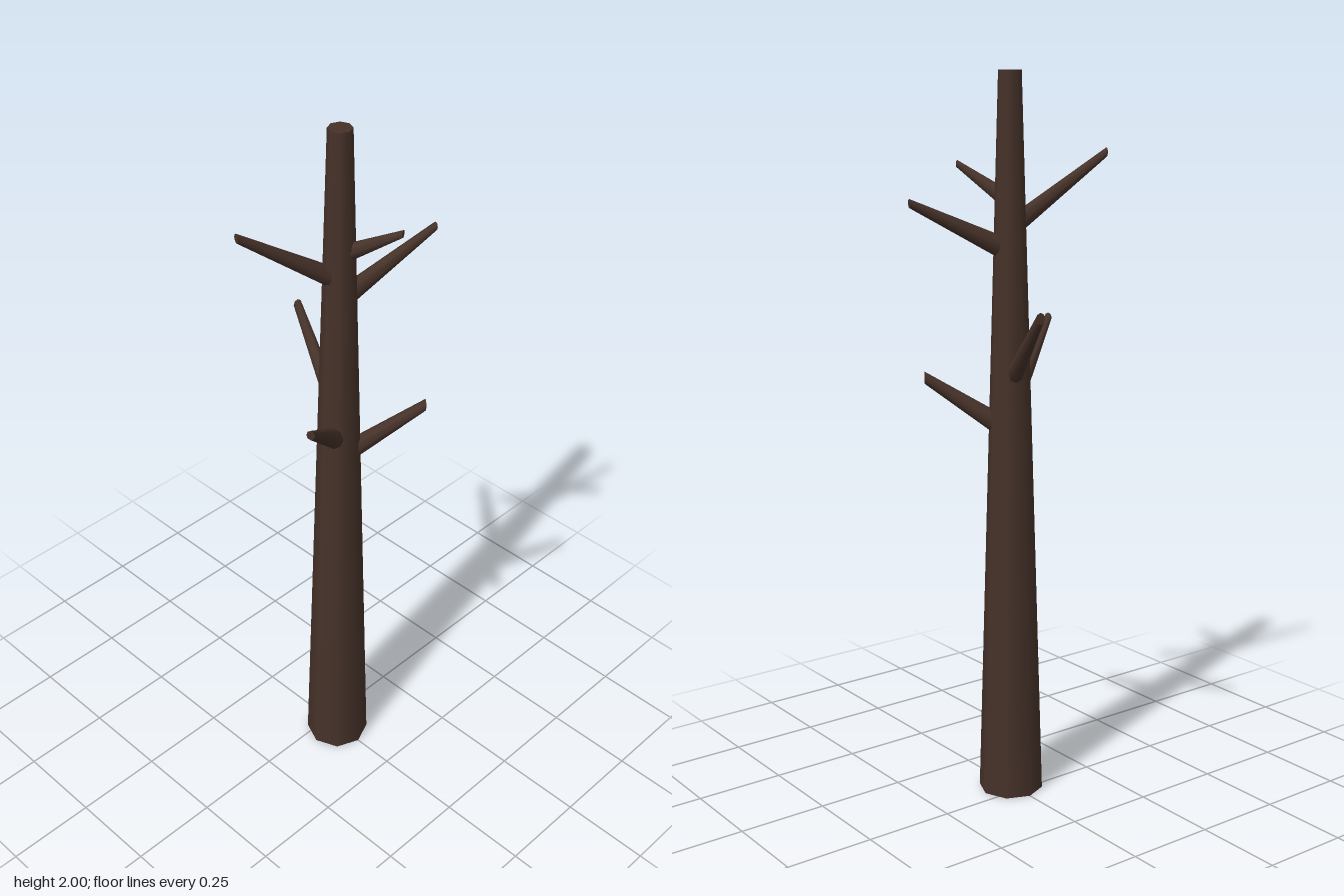
import * as THREE from 'three';

const X = 0.04; // trunk axis

export function createModel() {
  const tree = new THREE.Group();
  tree.name = 'bareTree';
  const bark = new THREE.MeshStandardMaterial({ color: 0x463229 });

  function add(name, geometry) {
    const mesh = new THREE.Mesh(geometry, bark);
    mesh.name = name;
    tree.add(mesh);
    return mesh;
  }

  // Tapered eight-sided trunk
  add('trunk', new THREE.CylinderGeometry(0.031, 0.09, 2, 8, 4)).position.set(X, 1, 0);

  // Branch: a level tapered cylinder sheared upwards, so its tip is cut vertically
  function branch(name, startY, [x, y, z], baseRadius, tipRadius) {
    const dx = x - X;
    const length = Math.hypot(dx, z);
    const geometry = new THREE.CylinderGeometry(tipRadius, baseRadius, length, 8, 1);
    geometry.translate(0, length / 2, 0);
    geometry.rotateX(Math.PI / 2);
    const p = geometry.attributes.position;
    for (let i = 0; i < p.count; i++) {
      const t = p.getZ(i) / length;
      const stretch = 1.4 - 0.1 * t;
      p.setY(i, p.getY(i) * stretch + t * (y - startY));
    }
    geometry.computeVertexNormals();
    const mesh = add(name, geometry);
    mesh.position.set(X, startY, 0);
    mesh.rotation.y = Math.atan2(dx, z);
  }

  // Lower whorl
  branch('lowerFrontBranch', 1.10, [0.182, 1.315, 0.242], 0.028, 0.011);
  branch('lowerRightBranch', 1.17, [-0.19, 1.385, -0.077], 0.025, 0.012);
  branch('lowerBackBranch', 1.04, [0.18, 1.19, -0.184], 0.026, 0.013);

  // Upper whorl
  branch('upperFrontBranch', 1.59, [-0.035, 1.785, 0.267], 0.024, 0.01);
  branch('upperBackBranch', 1.53, [0.114, 1.665, -0.269], 0.024, 0.009);
  branch('upperLeftBranch', 1.66, [0.19, 1.755, -0.063], 0.021, 0.008);

  return tree;
}
